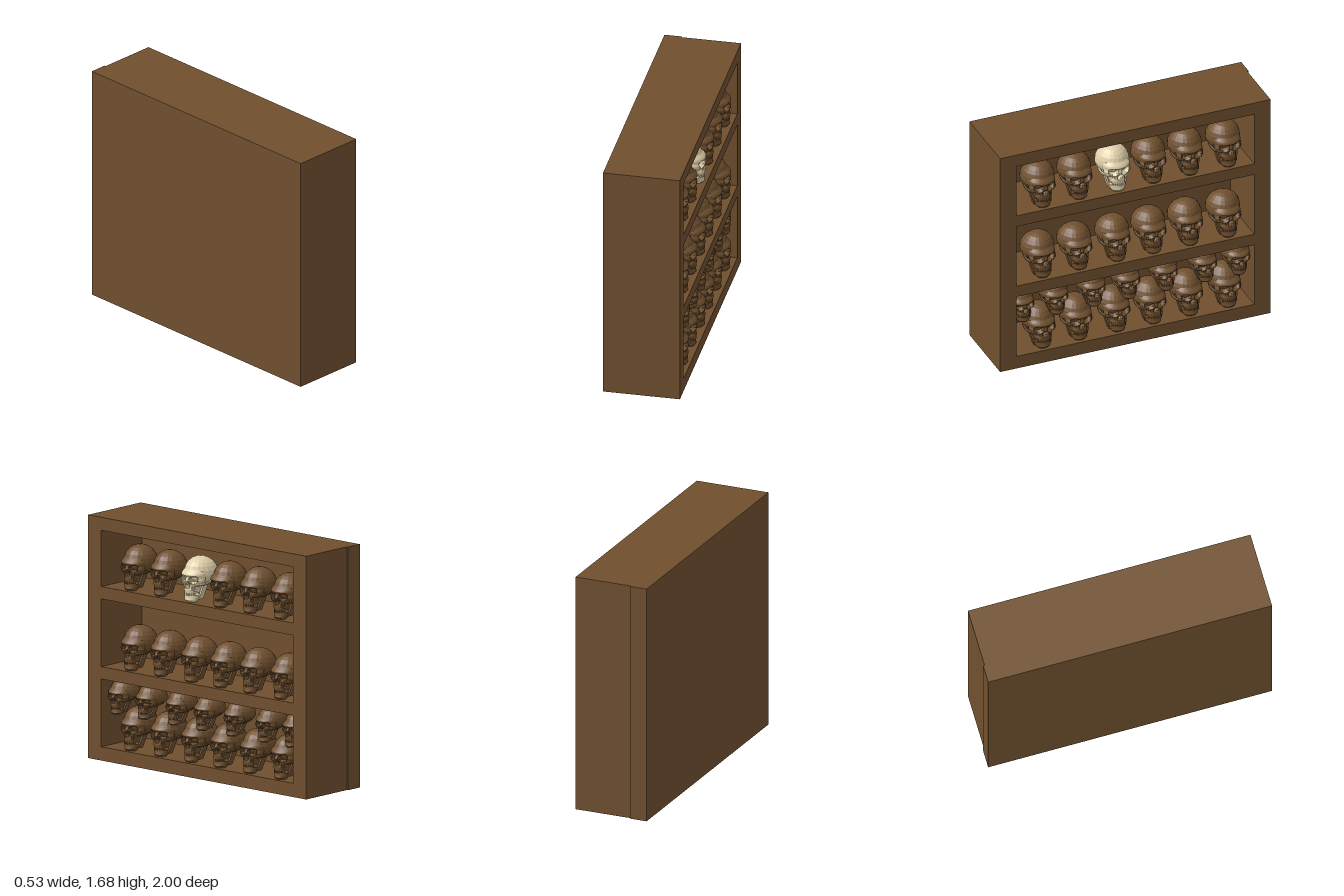
import * as THREE from 'three';
import { mergeGeometries } from 'three/addons/utils/BufferGeometryUtils.js';

const { smoothstep } = THREE.MathUtils;

// Move every vertex by a rule
function deform(geo, rule) {
  const p = geo.attributes.position, v = new THREE.Vector3();
  for (let i = 0; i < p.count; i++) {
    rule(v.fromBufferAttribute(p, i));
    p.setXYZ(i, v.x, v.y, v.z);
  }
  return geo;
}

// Facet a geometry
function faceted(geo) {
  const g = geo.index ? geo.toNonIndexed() : geo;
  g.computeVertexNormals();
  return g;
}

// Linear lookup in a profile of rows [y, a, b, c], sorted by y
function profile(rows, y) {
  let i = 0;
  while (i < rows.length - 2 && y > rows[i + 1][0]) i++;
  const a = rows[i], b = rows[i + 1];
  const t = THREE.MathUtils.clamp((y - a[0]) / (b[0] - a[0]), 0, 1);
  return a.map((n, k) => n + (b[k] - n) * t);
}

// Hollow with a steep rim
function dent(z, y, z0, y0, rz, ry, depth) {
  const d = Math.hypot((z - z0) / rz, (y - y0) / ry);
  return depth * (1 - smoothstep(d, 0.65, 1.1));
}

// Skull parts: standing on y = 0, looking towards +x
function skullParts() {
  const cranium = deform(new THREE.SphereGeometry(1, 20, 12), (v) => {
    const px = v.x;
    v.x = -0.015 + 0.12 * px;
    v.y = 0.185 + (v.y > 0 ? 0.115 : 0.09) * v.y;
    v.z *= 0.118 * (1 - 0.14 * px);
  });

  // rows: height, front, half width, back
  const faceRows = [
    [0.062, 0.118, 0.052, 0.02], [0.085, 0.122, 0.06, 0.01], [0.105, 0.118, 0.07, 0],
    [0.128, 0.122, 0.09, 0], [0.15, 0.126, 0.095, 0], [0.17, 0.118, 0.094, -0.02],
    [0.185, 0.127, 0.097, -0.03], [0.2, 0.118, 0.094, -0.03], [0.222, 0.095, 0.08, -0.03],
  ];
  const face = deform(new THREE.CylinderGeometry(1, 1, 0.16, 48, 20), (v) => {
    const y = v.y + 0.142;
    const [, front, half, back] = profile(faceRows, y);
    const mid = back + (front - back) * 0.45;
    const dir = v.x;
    v.z *= half;
    v.x = mid + dir * (dir > 0 ? front - mid : mid - back);
    v.y = y;
    if (dir > 0.05) {
      const z = Math.abs(v.z);
      v.x -= dent(z, y, 0.044, 0.154, 0.029, 0.023, 0.045); // eye sockets
      v.x -= dent(z, y, 0, 0.118, 0.02 - 0.35 * (y - 0.11), 0.022, 0.035); // nose opening
      v.x -= dent(z, y, 0.055, 0.1, 0.018, 0.02, 0.014); // hollow under the cheek
    }
  });

  const jawRows = [
    [0, 0.108, 0.04, 0.045], [0.012, 0.118, 0.05, 0.03],
    [0.03, 0.113, 0.058, 0.02], [0.048, 0.112, 0.06, 0.02],
  ];
  const chin = deform(new THREE.CylinderGeometry(1, 1, 0.048, 24, 4), (v) => {
    const y = v.y + 0.024;
    const [, front, half, back] = profile(jawRows, y);
    v.set((front + back) / 2 + v.x * (front - back) / 2, y, v.z * half);
  });

  const jaw = [chin], cheeks = [], teeth = [];
  for (const s of [-1, 1]) {
    // Rising jaw branch, leaning back and outwards
    jaw.push(deform(new THREE.BoxGeometry(0.045, 0.12, 0.014, 1, 3, 1), (v) => {
      const t = v.y / 0.12 + 0.5;
      v.x += 0.05 - 0.035 * t;
      v.y += 0.08;
      v.z += s * (0.056 + 0.026 * t);
    }));
    const arch = new THREE.CatmullRomCurve3([
      new THREE.Vector3(0.088, 0.125, s * 0.066), new THREE.Vector3(0.06, 0.126, s * 0.092),
      new THREE.Vector3(0.02, 0.134, s * 0.104), new THREE.Vector3(-0.03, 0.146, s * 0.1),
    ]);
    cheeks.push(new THREE.TubeGeometry(arch, 8, 0.009, 6));
  }

  // Upper and lower teeth along an arc
  for (const y of [0.05, 0.062]) {
    for (let i = -4; i <= 4; i++) {
      const a = i * 0.27;
      teeth.push(new THREE.BoxGeometry(0.014, 0.0115, 0.0095)
        .rotateY(-a)
        .translate(0.068 + 0.043 * Math.cos(a), y, 0.045 * Math.sin(a)));
    }
  }

  return {
    cranium: faceted(cranium),
    face: faceted(face),
    jaw: faceted(mergeGeometries(jaw)),
    cheekbones: faceted(mergeGeometries(cheeks)),
    teeth: faceted(mergeGeometries(teeth)),
  };
}

export function createModel() {
  const model = new THREE.Group();
  model.name = 'skullShelf';
  const wood = new THREE.MeshStandardMaterial({ color: 0x70502f });
  wood.name = 'brown wood';
  const bone = new THREE.MeshStandardMaterial({ color: 0xe0d0aa });
  bone.name = 'pale bone';

  function add(parent, name, geo, mat) {
    const mesh = new THREE.Mesh(geo, mat);
    mesh.name = name;
    parent.add(mesh);
    return mesh;
  }

  // Frame with three openings, drawn in (-z, y) and extruded along x
  const rect = (C, x0, x1, y0, y1) => new C([
    [x0, y0], [x1, y0], [x1, y1], [x0, y1],
  ].map(([x, y]) => new THREE.Vector2(x, y)));
  const outline = rect(THREE.Shape, -1, 0.99, 0, 1.685);
  for (const [y0, y1] of [[0.095, 0.565], [0.65, 1.12], [1.205, 1.595]]) {
    outline.holes.push(rect(THREE.Path, -0.88, 0.87, y0, y1));
  }
  const frame = new THREE.ExtrudeGeometry(outline, { depth: 0.41, bevelEnabled: false });
  add(model, 'shelfFrame', frame.rotateY(Math.PI / 2).translate(-0.145, 0, 0), wood);

  // Thick back slab, slightly longer than the frame
  const slab = new THREE.BoxGeometry(0.1225, 1.685, 2).translate(-0.20625, 0.8425, 0);
  add(model, 'backPanel', slab, wood);

  // Skulls in rows
  const parts = skullParts();
  const six = [0.66, 0.39, 0.11, -0.155, -0.425, -0.705];
  const seven = [0.8, 0.55, 0.275, 0.02, -0.255, -0.545, -0.79];
  const rows = [
    { name: 'bottomRowSkull', y: 0.095, zs: six, scale: [1, 0.98, 1] },
    { name: 'stackedSkull', y: 0.325, zs: seven, scale: [0.86, 0.79, 0.86] },
    { name: 'middleRowSkull', y: 0.65, zs: six, scale: [1, 1, 1] },
    { name: 'topRowSkull', y: 1.205, zs: six, scale: [1, 1.01, 1], pale: 2 },
  ];
  for (const row of rows) {
    row.zs.forEach((z, i) => {
      const skull = new THREE.Group();
      skull.name = i === row.pale ? 'paleSkull' : row.name;
      for (const [name, geo] of Object.entries(parts)) {
        add(skull, name, geo, i === row.pale ? bone : wood);
      }
      skull.position.set(0.13, row.y, z);
      skull.scale.set(...row.scale);
      model.add(skull);
    });
  }
  return model;
}
